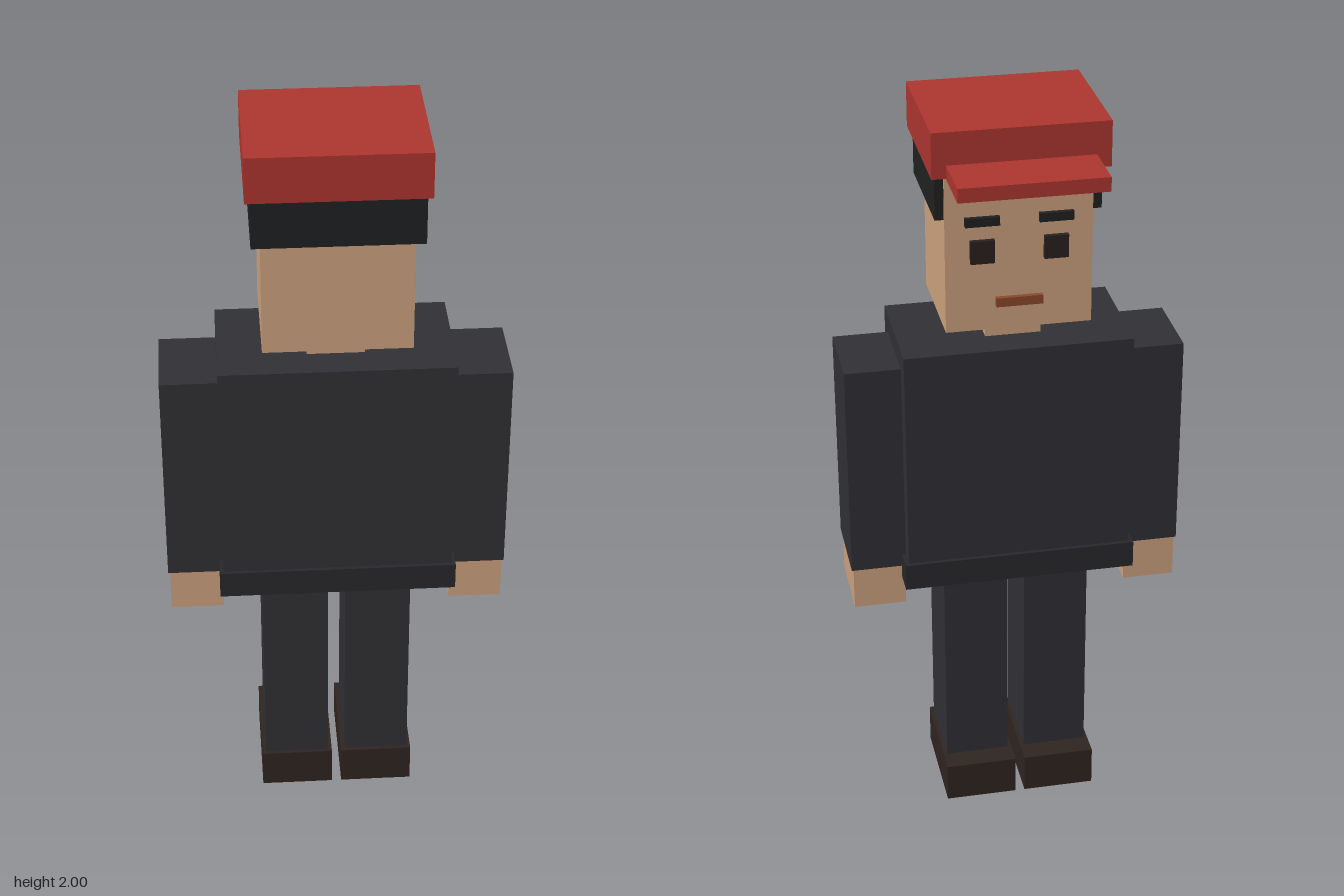
import * as THREE from 'three';

const material = (color) => new THREE.MeshStandardMaterial({ color, flatShading: true });

export function createModel() {
  const model = new THREE.Group();
  model.name = 'blockFigure';

  const red = material(0xb03630);
  const hairBlack = material(0x202122);
  const skin = material(0xd0a480);
  const cloth = material(0x313136);
  const hemCloth = material(0x29292d);
  const leather = material(0x302521);
  const eyeDark = material(0x2b211e);
  const lip = material(0x8e4a2c);

  // Box given by its [min, max] range on each axis
  function block(name, mat, [x0, x1], [y0, y1], [z0, z1]) {
    const mesh = new THREE.Mesh(new THREE.BoxGeometry(x1 - x0, y1 - y0, z1 - z0), mat);
    mesh.position.set((x0 + x1) / 2, (y0 + y1) / 2, (z0 + z1) / 2);
    mesh.name = name;
    model.add(mesh);
  }

  // Box on the left (+x) side and its mirror on the right
  function pair(name, mat, [x0, x1], y, z) {
    block('left' + name, mat, [x0, x1], y, z);
    block('right' + name, mat, [-x1, -x0], y, z);
  }

  // Cap, with the brim over the face at -z
  block('capCrown', red, [-0.224, 0.224], [1.881, 2], [-0.11, 0.262]);
  block('capBrim', red, [-0.187, 0.187], [1.878, 1.915], [-0.26, -0.085]);

  // Head
  block('hair', hairBlack, [-0.211, 0.211], [1.756, 1.884], [-0.068, 0.254]);
  block('head', skin, [-0.188, 0.188], [1.45, 1.88], [-0.073, 0.228]);
  block('neck', skin, [-0.073, 0.073], [1.38, 1.46], [0.003, 0.148]);

  // Face
  const face = [-0.086, -0.07];
  pair('Eyebrow', hairBlack, [0.05, 0.138], [1.737, 1.76], face);
  pair('Eye', eyeDark, [0.063, 0.125], [1.637, 1.698], face);
  block('mouth', lip, [-0.06, 0.06], [1.515, 1.539], face);

  // Jacket
  block('torso', cloth, [-0.3, 0.3], [0.72, 1.393], [-0.087, 0.237]);
  block('jacketHem', hemCloth, [-0.311, 0.311], [0.713, 0.787], [-0.098, 0.248]);

  // Limbs
  pair('Arm', cloth, [0.298, 0.447], [0.751, 1.34], [-0.036, 0.187]);
  pair('Hand', skin, [0.302, 0.442], [0.633, 0.755], [-0.031, 0.182]);
  pair('Leg', cloth, [0.023, 0.198], [0.1, 0.73], [-0.035, 0.187]);
  pair('Shoe', leather, [0.013, 0.208], [0, 0.11], [-0.098, 0.198]);

  return model;
}
